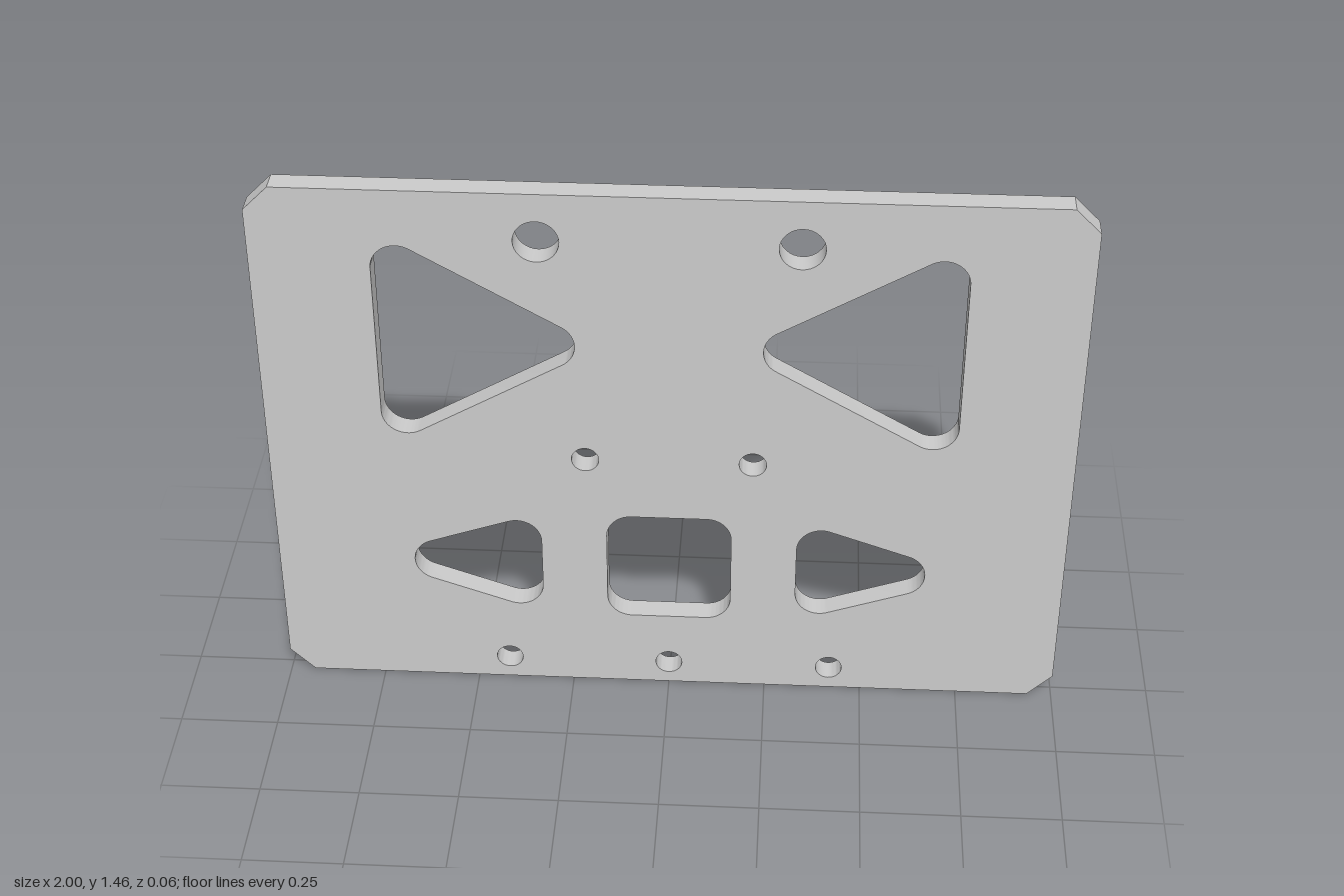
import * as THREE from 'three';
import { toCreasedNormals } from 'three/addons/utils/BufferGeometryUtils.js';

const HALF_WIDTH = 1, HEIGHT = 1.464, THICKNESS = 0.06;
const CHAMFER = 0.063, CORNER_RADIUS = 0.0625;

// Round hole
function circleHole(x, y, r) {
  return new THREE.Path().absarc(x, y, r, 0, Math.PI * 2, false);
}

// Convex opening with rounded corners; centres of the corner arcs run counter-clockwise
function roundedHole(centres, r = CORNER_RADIUS) {
  const path = new THREE.Path();
  const n = centres.length;
  const normalAngle = (a, b) => Math.atan2(b[1] - a[1], b[0] - a[0]) - Math.PI / 2;
  centres.forEach((c, i) => {
    const start = normalAngle(centres[(i + n - 1) % n], c);
    const end = normalAngle(c, centres[(i + 1) % n]);
    path.absarc(c[0], c[1], r, start, end, false);
  });
  path.closePath();
  return path;
}

const mirrored = (centres) => centres.map(([x, y]) => [-x, y]).reverse();

export function createModel() {
  const group = new THREE.Group();
  group.name = 'mountingPlate';

  // Outline with chamfered corners
  const w = HALF_WIDTH, h = HEIGHT, c = CHAMFER;
  const outline = new THREE.Shape([
    [-w + c, 0], [w - c, 0], [w, c], [w, h - c],
    [w - c, h], [-w + c, h], [-w, h - c], [-w, c],
  ].map(([x, y]) => new THREE.Vector2(x, y)));

  // Triangular openings on both sides
  const upperTriangle = [[0.29, 1.045], [0.646, 0.838], [0.646, 1.252]];
  const lowerTriangle = [[0.386, 0.309], [0.588, 0.38], [0.386, 0.451]];
  for (const triangle of [upperTriangle, lowerTriangle]) {
    outline.holes.push(roundedHole(triangle), roundedHole(mirrored(triangle)));
  }

  // Central square opening
  outline.holes.push(roundedHole([[-0.095, 0.282], [0.095, 0.282], [0.095, 0.475], [-0.095, 0.475]]));

  // Bolt holes
  for (const side of [-1, 1]) {
    outline.holes.push(
      circleHole(side * 0.313, 1.336, 0.055),
      circleHole(side * 0.208, 0.711, 0.034),
      circleHole(side * 0.417, 0.066, 0.034),
    );
  }
  outline.holes.push(circleHole(0, 0.066, 0.034));

  // Plate
  const extruded = new THREE.ExtrudeGeometry(outline, {
    depth: THICKNESS, bevelEnabled: false, curveSegments: 16,
  });
  extruded.translate(0, 0, -THICKNESS / 2);
  const plate = new THREE.Mesh(
    toCreasedNormals(extruded, Math.PI / 6),
    new THREE.MeshStandardMaterial({ color: 0xcccccc }),
  );
  plate.name = 'plate';
  group.add(plate);
  return group;
}
